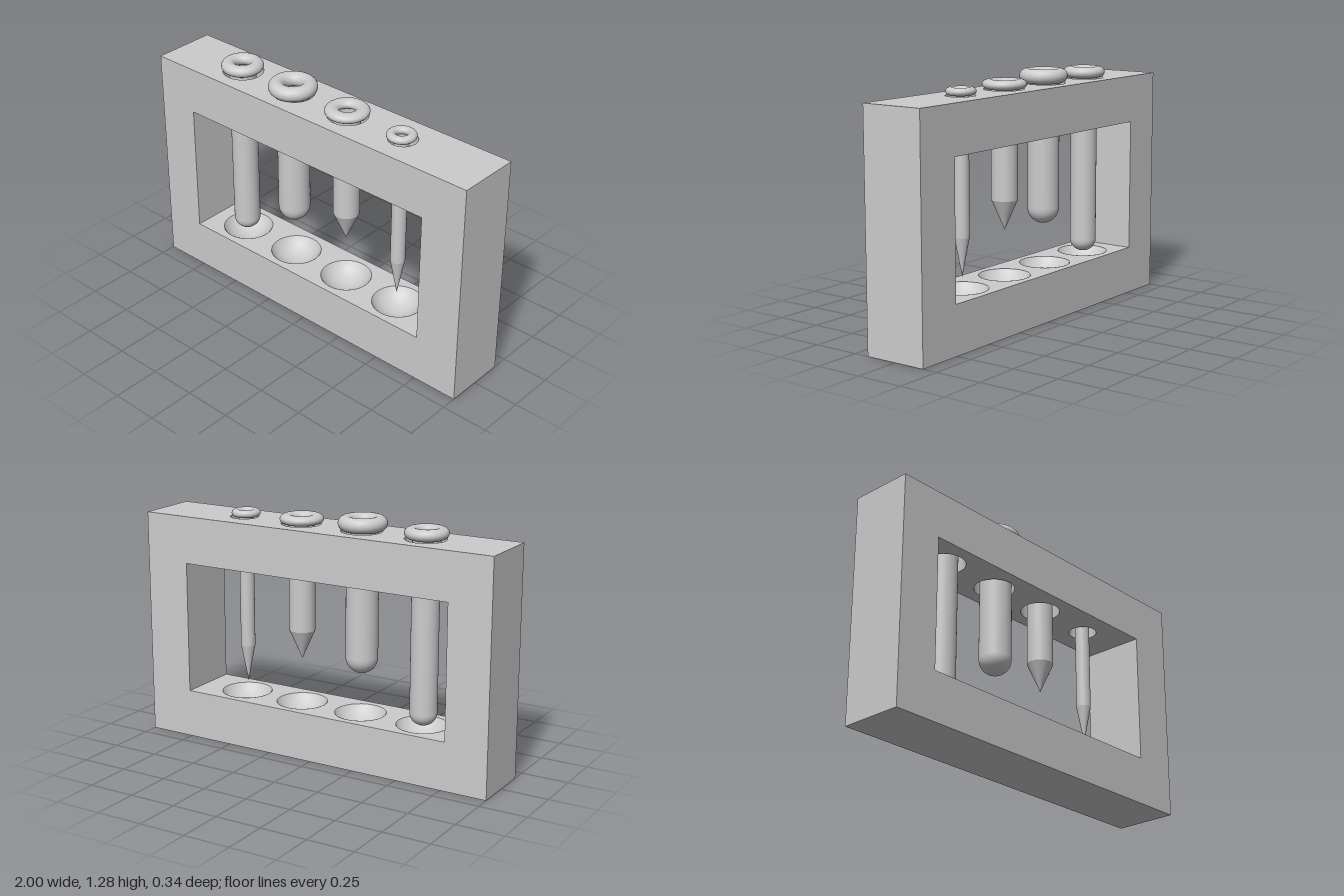
import * as THREE from 'three';

const DEPTH = 0.34, TOP = 1.205, BAR = 0.955, FLOOR = 0.255, DISH = 0.08;
const DISH_R = 0.133;

// bottom: lowest point, shoulder: end of the straight wall, lip: outer / inner radius and height of the rim
const TUBES = [
  { x: -0.565, z: 0, r: 0.07, hole: 0.105, bottom: 0.255, shoulder: 0.32, round: true, lip: [0.11, 0.038, 0.06] },
  { x: -0.203, z: 0.01, r: 0.083, hole: 0.105, bottom: 0.468, shoulder: 0.55, round: true, lip: [0.125, 0.045, 0.076] },
  { x: 0.147, z: 0, r: 0.068, hole: 0.103, bottom: 0.49, shoulder: 0.645, round: false, lip: [0.113, 0.04, 0.05] },
  { x: 0.49, z: 0.003, r: 0.038, hole: 0.074, bottom: 0.31, shoulder: 0.51, round: false, lip: [0.075, 0.028, 0.04] },
];

const grey = new THREE.MeshStandardMaterial({ color: 0xcccccc });
const greyThin = new THREE.MeshStandardMaterial({ color: 0xcccccc, side: THREE.DoubleSide });

function add(parent, name, geometry, material = grey) {
  const mesh = new THREE.Mesh(geometry, material);
  mesh.name = name;
  parent.add(mesh);
  return mesh;
}

// Horizontal slab pierced by vertical round holes
function slab(y0, y1, holes) {
  const shape = new THREE.Shape();
  shape.moveTo(-1, -DEPTH / 2);
  shape.lineTo(1, -DEPTH / 2);
  shape.lineTo(1, DEPTH / 2);
  shape.lineTo(-1, DEPTH / 2);
  shape.closePath();
  for (const [x, r] of holes) {
    const hole = new THREE.Path();
    hole.absarc(x, 0, r, 0, Math.PI * 2, true);
    shape.holes.push(hole);
  }
  const geo = new THREE.ExtrudeGeometry(shape, { depth: y1 - y0, bevelEnabled: false, curveSegments: 40 });
  return geo.rotateX(-Math.PI / 2).translate(0, y0, 0);
}

function box(x0, x1, y0, y1) {
  return new THREE.BoxGeometry(x1 - x0, y1 - y0, DEPTH).translate((x0 + x1) / 2, (y0 + y1) / 2, 0);
}

function makeTube(t) {
  const tube = new THREE.Group();
  tube.position.set(t.x, 0, t.z);
  const [outer, inner, height] = t.lip;

  // Straight wall
  const wallTop = TOP + height * 0.4;
  add(tube, 'tubeWall', new THREE.CylinderGeometry(t.r, t.r, wallTop - t.shoulder, 40, 1, true)
    .translate(0, (wallTop + t.shoulder) / 2, 0), greyThin);

  // Rounded or pointed end
  const profile = [];
  const steps = t.round ? 12 : 1;
  for (let i = 0; i <= steps; i++) {
    const a = (i / steps) * Math.PI / 2;
    profile.push(new THREE.Vector2(t.r * Math.sin(a), t.shoulder - (t.shoulder - t.bottom) * Math.cos(a)));
  }
  add(tube, t.round ? 'roundEnd' : 'pointedEnd', new THREE.LatheGeometry(profile, 40), greyThin);

  // Rim resting on the rack
  const minor = (outer - inner) / 2;
  add(tube, 'rim', new THREE.TorusGeometry((outer + inner) / 2, minor, 20, 48)
    .rotateX(Math.PI / 2)
    .scale(1, height / (2 * minor), 1)
    .translate(0, TOP + height / 2, 0));
  return tube;
}

export function createModel() {
  const model = new THREE.Group();
  model.name = 'testTubeRack';

  // Rack frame
  const rack = new THREE.Group();
  rack.name = 'rack';
  model.add(rack);
  const dishX = [-0.56, -0.203, 0.15, 0.497];
  add(rack, 'topBar', slab(BAR, TOP, TUBES.map((t, i) => [dishX[i], t.hole])));
  add(rack, 'rightPost', box(-1, -0.77, FLOOR, BAR));
  add(rack, 'leftPost', box(0.755, 1, FLOOR, BAR));
  add(rack, 'baseTop', slab(FLOOR - DISH, FLOOR, dishX.map((x) => [x, DISH_R])));
  add(rack, 'base', box(-1, 1, 0, FLOOR - DISH));

  // Shallow spherical dishes in the base
  const R = (DISH_R ** 2 + DISH ** 2) / (2 * DISH);
  const sweep = Math.asin(DISH_R / R);
  const bowl = [];
  for (let i = 0; i <= 10; i++) {
    const a = (i / 10) * sweep;
    bowl.push(new THREE.Vector2(R * Math.sin(a), R * (1 - Math.cos(a))));
  }
  for (const x of dishX) {
    add(rack, 'dish', new THREE.LatheGeometry(bowl, 40).translate(x, FLOOR - DISH + 0.0005, 0), greyThin);
  }

  // Tubes
  TUBES.forEach((t, i) => {
    const tube = makeTube(t);
    tube.name = `tube${i + 1}`;
    model.add(tube);
  });
  return model;
}
